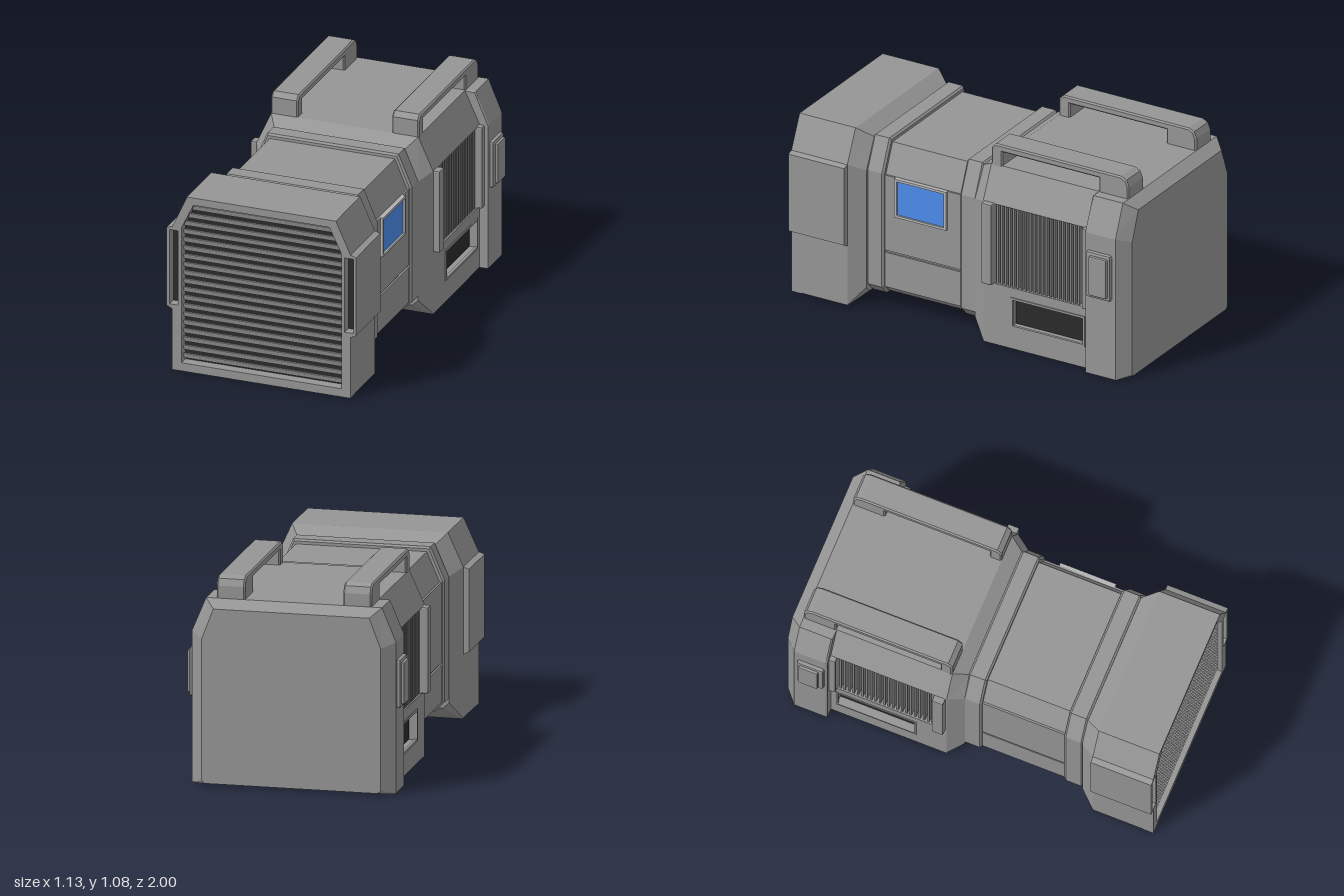
import * as THREE from 'three';
import { RoundedBoxGeometry } from 'three/addons/geometries/RoundedBoxGeometry.js';

const grey = new THREE.MeshStandardMaterial({ color: 0x969696, flatShading: true });
const slatGrey = new THREE.MeshStandardMaterial({ color: 0xb4b4b4 });
const finGrey = new THREE.MeshStandardMaterial({ color: 0x868686 });
const dark = new THREE.MeshStandardMaterial({ color: 0x2a2a2a });
const blue = new THREE.MeshStandardMaterial({ color: 0x4c8ceb });

// Housing cross-section: [z, half width, half width on top, shoulder y, top y, bottom y, bottom chamfer]
function section([z, w, wt, ys, yt, yb, c]) {
  return [[w, yb + c], [w, ys], [wt, yt], [-wt, yt], [-w, ys], [-w, yb + c], [c - w, yb], [w - c, yb]]
    .map(([x, y]) => [x, y, z]);
}

// Flat-sided loft through sections listed from front to back, closed at both ends
function loft(rows) {
  const rings = rows.map(section), pos = [], n = 8;
  const tri = (a, b, c) => pos.push(...a, ...b, ...c);
  for (let r = 0; r < rings.length - 1; r++) {
    const f = rings[r], b = rings[r + 1];
    for (let i = 0; i < n; i++) {
      const j = (i + 1) % n;
      tri(f[i], b[i], b[j]);
      tri(f[i], b[j], f[j]);
    }
  }
  const first = rings[0], last = rings[rings.length - 1];
  for (let i = 1; i < n - 1; i++) {
    tri(first[0], first[i], first[i + 1]);
    tri(last[0], last[i + 1], last[i]);
  }
  const g = new THREE.BufferGeometry();
  g.setAttribute('position', new THREE.Float32BufferAttribute(pos, 3));
  g.computeVertexNormals();
  return g;
}

const polygon = (pts) => new THREE.Shape(pts.map(([x, y]) => new THREE.Vector2(x, y)));
const rect = (x0, x1, y0, y1) => polygon([[x0, y0], [x1, y0], [x1, y1], [x0, y1]]);
const mirrored = (half) => [...half, ...half.map(([x, y]) => [-x, y]).reverse()];

function prism(shape, depth, z) {
  return new THREE.ExtrudeGeometry(shape, { depth, bevelEnabled: false }).translate(0, 0, z);
}

// Slab from a (z, y) outline, spanning x0..x1 on the given side, with chamfered edges if b is set
function sideSlab(shape, x0, x1, side, b = 0) {
  return new THREE.ExtrudeGeometry(shape, {
    depth: x1 - x0 - 2 * b, bevelEnabled: b > 0, bevelSize: b, bevelThickness: b,
    bevelOffset: -b, bevelSegments: 1,
  }).rotateY(-Math.PI / 2).translate((side > 0 ? x1 : -x0) - b, 0, 0);
}

export function createModel() {
  const model = new THREE.Group();
  model.name = 'portableUnit';

  const add = (name, geometry, material = grey) => {
    const mesh = new THREE.Mesh(geometry, material);
    mesh.name = name;
    model.add(mesh);
    return mesh;
  };
  // Box from its extents; r rounds the edges
  const box = (name, side, x0, x1, y0, y1, z0, z1, material = grey, r = 0) => {
    const s = [x1 - x0, y1 - y0, z1 - z0];
    const g = r ? new RoundedBoxGeometry(...s, 1, r) : new THREE.BoxGeometry(...s);
    g.translate(side * (x0 + x1) / 2, (y0 + y1) / 2, (z0 + z1) / 2);
    return add(name, g, material);
  };

  // Front housing with its tapered neck
  add('frontHousing', loft([
    [0.94, 0.485, 0.405, 0.79, 0.965, 0, 0.004],
    [0.67, 0.485, 0.405, 0.79, 0.965, 0, 0.004],
    [0.59, 0.43, 0.355, 0.755, 0.915, 0.07, 0.03],
  ]));

  // Front frame with the grille opening and a slot in each side pod
  const podEdge = [[0.485, 0.335], [0.515, 0.35], [0.515, 0.78], [0.485, 0.79]];
  const opening = mirrored([[0.435, 0.045], [0.435, 0.79], [0.37, 0.925]]);
  const frame = polygon(mirrored([[0.485, 0], ...podEdge, [0.405, 0.965]]));
  frame.holes.push(polygon(opening), rect(0.453, 0.5, 0.36, 0.77), rect(-0.5, -0.453, 0.36, 0.77));
  add('frontFrame', prism(frame, 0.06, 0.94));
  add('grilleBack', prism(polygon(opening), 0.004, 0.94), dark);

  // Slanted grille slats, shortened under the chamfered corners
  for (let i = 0; i < 19; i++) {
    const y = 0.075 + i * 0.0457;
    const half = Math.min(0.437, 0.437 - (y - 0.018 - 0.79) * 0.48);
    const slat = add('grilleSlat', new THREE.BoxGeometry(half * 2, 0.036, 0.006), slatGrey);
    slat.position.set(0, y, 0.967);
    slat.rotation.x = 0.5;
  }

  // Collars and mid body
  for (const [front, back] of [[0.592, 0.49], [0.04, -0.06]]) {
    add('collar', loft([
      [front, 0.42, 0.35, 0.755, 0.92, 0.082, 0.05],
      [front - 0.01, 0.43, 0.357, 0.76, 0.93, 0.074, 0.05],
      [back + 0.01, 0.43, 0.357, 0.76, 0.93, 0.074, 0.05],
      [back, 0.42, 0.35, 0.755, 0.92, 0.082, 0.05],
    ]));
  }
  add('midBody', loft([
    [0.5, 0.406, 0.34, 0.75, 0.905, 0.08, 0.045],
    [0.03, 0.406, 0.34, 0.75, 0.905, 0.08, 0.045],
  ]));

  // Rear housing: tapered neck, then a core with recessed sides
  add('rearNeck', loft([
    [-0.05, 0.43, 0.35, 0.755, 0.915, 0.07, 0.03],
    [-0.13, 0.48, 0.4, 0.79, 0.965, 0, 0.004],
  ]));
  add('rearCore', prism(polygon(mirrored([[0.425, 0], [0.425, 0.79], [0.48, 0.79], [0.4, 0.965]])), 0.64, -0.77));

  // Back cap with chamfered rear edges
  add('backCap', loft([
    [-0.76, 0.525, 0.452, 0.79, 0.96, 0, 0.004],
    [-0.768, 0.53, 0.457, 0.79, 0.965, 0, 0.004],
    [-0.94, 0.53, 0.457, 0.79, 0.965, 0, 0.004],
    [-1, 0.465, 0.405, 0.765, 0.922, 0.012, 0.015],
  ]));

  // Screen on the left flank
  const bezel = rect(0.12, 0.425, 0.535, 0.75);
  bezel.holes.push(rect(0.133, 0.412, 0.548, 0.737));
  add('screenBezel', sideSlab(bezel, 0.41, 0.432, 1), slatGrey);
  box('screen', 1, 0.41, 0.422, 0.548, 0.737, 0.133, 0.412, blue);

  for (const side of [1, -1]) {
    // Front pods and their slot backs
    const pod = [[0.44, 0.335], ...podEdge, [0.44, 0.79]].map(([x, y]) => [side * x, y]);
    add('frontPod', prism(polygon(pod), 0.27, 0.67));
    box('slotBack', side, 0.453, 0.5, 0.36, 0.77, 0.935, 0.949, dark);

    // Mid body panels, parted by a groove
    box('midUpperPanel', side, 0.4, 0.416, 0.33, 0.75, 0.04, 0.49);
    box('midLowerPanel', side, 0.4, 0.416, 0.125, 0.318, 0.04, 0.49);

    // Rear side wall with a cooling window and a lower vent
    const wall = rect(-0.77, -0.13, 0, 0.79);
    wall.holes.push(rect(-0.725, -0.195, 0.34, 0.785), rect(-0.725, -0.3, 0.125, 0.28));
    add('rearSideWall', sideSlab(wall, 0.42, 0.48, side));
    box('coolingBack', side, 0.42, 0.43, 0.34, 0.785, -0.725, -0.195, dark);
    box('lowerVentBack', side, 0.42, 0.44, 0.125, 0.28, -0.725, -0.3, dark);
    for (let i = 0; i < 22; i++) {
      const z = -0.208 - i * 0.024;
      box('coolingFin', side, 0.425, 0.472, 0.34, 0.785, z - 0.0055, z + 0.0055, finGrey);
    }

    // Raised rim of the lower vent
    const rim = rect(-0.73, -0.293, 0.118, 0.287);
    rim.holes.push(rect(-0.72, -0.305, 0.13, 0.275));
    add('lowerVentRim', sideSlab(rim, 0.47, 0.485, side));

    // Upright guards beside the cooling window
    box('frontGuard', side, 0.46, 0.515, 0.34, 0.79, -0.197, -0.135, grey, 0.008);
    box('backGuard', side, 0.46, 0.508, 0.34, 0.79, -0.765, -0.725, grey, 0.008);

    // Latch on the back cap
    box('latchBase', side, 0.51, 0.55, 0.44, 0.695, -0.92, -0.775, grey, 0.012);
    box('latchFace', side, 0.53, 0.565, 0.458, 0.677, -0.905, -0.8, grey, 0.008);

    // Carrying handle along the top
    const handle = polygon([[-0.13, 0.94], [-0.13, 1.055], [-0.155, 1.08], [-0.895, 1.08],
      [-0.925, 1.065], [-0.94, 1.03], [-0.94, 0.94], [-0.763, 0.94], [-0.763, 1.04],
      [-0.195, 1.04], [-0.195, 0.94]]);
    add('handle', sideSlab(handle, 0.255, 0.403, side, 0.008));
  }
  return model;
}
